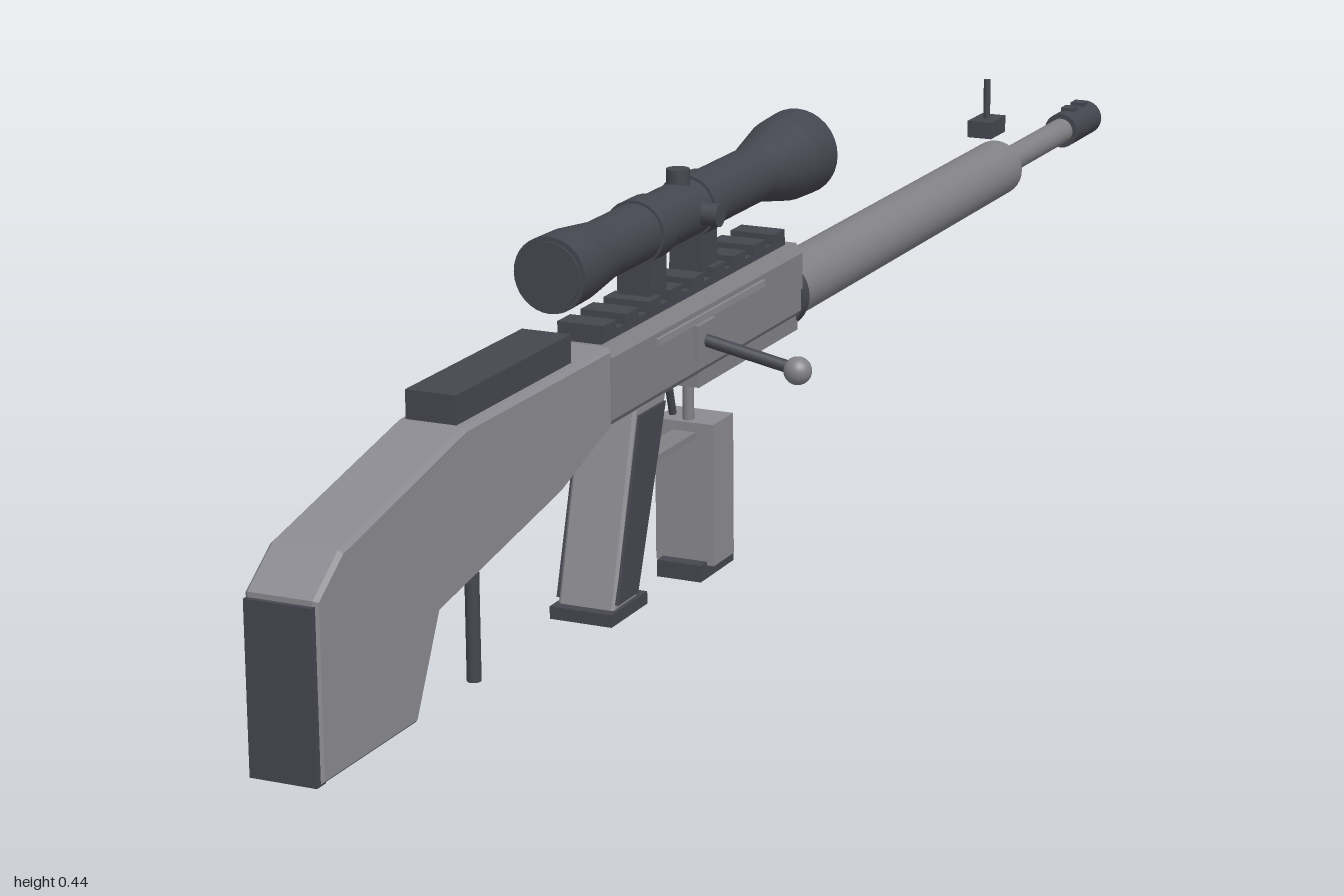
import * as THREE from 'three';

const mat = (name, color) => {
  const m = new THREE.MeshStandardMaterial({ color });
  m.name = name;
  return m;
};

export function createModel() {
  const dark = mat('charcoal', 0x464650);
  const metal = mat('steel grey', 0x828286);
  const light = mat('stock grey', 0x8a8a90);

  const model = new THREE.Group();
  const rifle = new THREE.Group();
  rifle.name = 'rifle';
  rifle.position.x = -0.055;
  model.add(rifle);

  const add = (name, geo, material, x = 0, y = 0, z = 0) => {
    const m = new THREE.Mesh(geo, material);
    m.name = name;
    m.position.set(x, y, z);
    rifle.add(m);
    return m;
  };
  // box given by its extents along y and z
  const box = (name, material, w, y0, y1, z0, z1, x = 0) =>
    add(name, new THREE.BoxGeometry(w, y1 - y0, z1 - z0), material, x, (y0 + y1) / 2, (z0 + z1) / 2);
  // round section along z, radius r0 at z0 and r1 at z1
  const tube = (name, material, y, z0, z1, r0, r1 = r0, sides = 32) => {
    const g = new THREE.CylinderGeometry(r1, r0, z1 - z0, sides);
    g.rotateX(Math.PI / 2);
    return add(name, g, material, 0, y, (z0 + z1) / 2);
  };
  // side outline of [z, y] points given a width along x
  const slab = (name, material, pts, w, bevel = 0, x = 0) => {
    const shape = new THREE.Shape(pts.map(([z, y]) => new THREE.Vector2(-z, y)));
    const g = new THREE.ExtrudeGeometry(shape, {
      depth: w - 2 * bevel, bevelEnabled: bevel > 0, bevelSize: bevel,
      bevelThickness: bevel, bevelOffset: -bevel, bevelSegments: 1,
    });
    g.translate(0, 0, -w / 2 + bevel);
    g.rotateY(Math.PI / 2);
    return add(name, g, material, x);
  };
  // rod between two points
  const rod = (name, material, a, b, r) => {
    const p = new THREE.Vector3(...a), q = new THREE.Vector3(...b);
    const g = new THREE.CylinderGeometry(r, r, p.distanceTo(q), 16);
    const m = add(name, g, material);
    m.position.copy(p).lerp(q, 0.5);
    m.quaternion.setFromUnitVectors(new THREE.Vector3(0, 1, 0), q.sub(p).normalize());
    return m;
  };

  // stock, butt pad, cheek rest and rear post
  slab('stock', light, [
    [0.995, 0.06], [0.995, 0.228], [0.95, 0.26], [0.725, 0.308], [0.43, 0.308],
    [0.43, 0.228], [0.54, 0.192], [0.78, 0.15], [0.825, 0.06],
  ], 0.072, 0.004);
  box('buttPad', dark, 0.067, 0.06, 0.223, 0.985, 1.0);
  box('cheekRest', dark, 0.052, 0.309, 0.337, 0.497, 0.725);
  rod('rearPost', dark, [0, 0.038, 0.655], [0, 0.152, 0.655], 0.007);

  // receiver: chamfered cross-section drawn along z
  const rs = new THREE.Shape([
    [-0.03, 0.228], [0.03, 0.228], [0.037, 0.236], [0.037, 0.298],
    [0.029, 0.308], [-0.029, 0.308], [-0.037, 0.298], [-0.037, 0.236],
  ].map((p) => new THREE.Vector2(...p)));
  add('receiver', new THREE.ExtrudeGeometry(rs, { depth: 0.455, bevelEnabled: false }), metal, 0, 0, -0.022);
  box('lowerReceiver', metal, 0.062, 0.213, 0.235, -0.022, 0.225);
  for (const s of [-1, 1]) box('sideStrip', light, 0.006, 0.286, 0.293, 0.08, 0.335, s * 0.037);

  // barrel
  tube('barrelCollar', dark, 0.247, -0.036, -0.018, 0.039);
  tube('barrelShroud', metal, 0.247, -0.685, -0.03, 0.0335);
  tube('shroudLip', metal, 0.247, -0.692, -0.685, 0.029, 0.0335);
  tube('barrel', metal, 0.247, -0.93, -0.68, 0.0155);
  tube('muzzle', dark, 0.247, -1, -0.91, 0.0215, 0.0215, 24);
  for (const z of [-0.975, -0.94]) box('muzzleVent', dark, 0.016, 0.262, 0.272, z - 0.009, z + 0.009);

  // front sight
  box('sightBase', dark, 0.03, 0.295, 0.315, -0.675, -0.628);
  rod('sightPost', dark, [0, 0.31, -0.652], [0, 0.362, -0.652], 0.004);

  // top rail
  box('rail', dark, 0.044, 0.307, 0.316, -0.01, 0.425);
  for (let i = 0; i < 9; i++) {
    const z = 0.012 + i * 0.05;
    box('railTooth', dark, 0.05, 0.314, 0.327, z - 0.014, z + 0.014);
  }

  // scope
  const sy = 0.39;
  tube('scopeTube', dark, sy, -0.01, 0.41, 0.03);
  tube('scopeFrontFlare', dark, sy, -0.05, 0.025, 0.045, 0.03);
  tube('scopeFrontBell', dark, sy, -0.092, -0.05, 0.047, 0.045);
  tube('scopeRearFlare', dark, sy, 0.385, 0.445, 0.03, 0.037);
  tube('scopeEyepiece', dark, sy, 0.445, 0.489, 0.037, 0.038);
  tube('frontLens', light, sy, -0.094, -0.09, 0.042);
  tube('rearLens', dark, sy, 0.485, 0.491, 0.033);
  rod('turretTop', dark, [0, 0.39, 0.205], [0, 0.434, 0.205], 0.012);
  rod('turretSide', dark, [0, sy, 0.205], [0.047, sy, 0.205], 0.012);
  for (const z of [0.17, 0.29]) {
    box('scopeMount', dark, 0.036, 0.322, 0.368, z - 0.019, z + 0.019);
    tube('scopeRing', dark, sy, z - 0.016, z + 0.016, 0.033);
  }

  // bolt handle
  box('boltPlate', metal, 0.008, 0.248, 0.285, 0.208, 0.25, 0.039);
  rod('boltHandle', dark, [0.036, 0.267, 0.23], [0.14, 0.245, 0.226], 0.0065);
  add('boltKnob', new THREE.SphereGeometry(0.0145, 24, 16), metal, 0.141, 0.244, 0.226);

  // grip with dark side panels
  const grip = [[0.37, 0.232], [0.3, 0.232], [0.372, 0.035], [0.424, 0.035]];
  slab('grip', light, grip, 0.062, 0.003);
  const panel = [[0.366, 0.222], [0.308, 0.222], [0.375, 0.042], [0.42, 0.042]];
  for (const s of [-1, 1]) slab('gripPanel', dark, panel, 0.006, 0, s * 0.031);
  box('gripBase', dark, 0.068, 0.024, 0.037, 0.355, 0.435);

  // trigger and guard
  rod('trigger', dark, [0, 0.232, 0.236], [0, 0.182, 0.222], 0.004);
  box('triggerGuard', metal, 0.026, 0.149, 0.156, 0.19, 0.335);
  rod('magazinePost', metal, [0, 0.16, 0.185], [0, 0.22, 0.185], 0.006);

  // magazine
  box('magazine', light, 0.066, 0.014, 0.166, 0.147, 0.196);
  box('magazineBase', dark, 0.05, 0, 0.018, 0.13, 0.211);

  return model;
}
